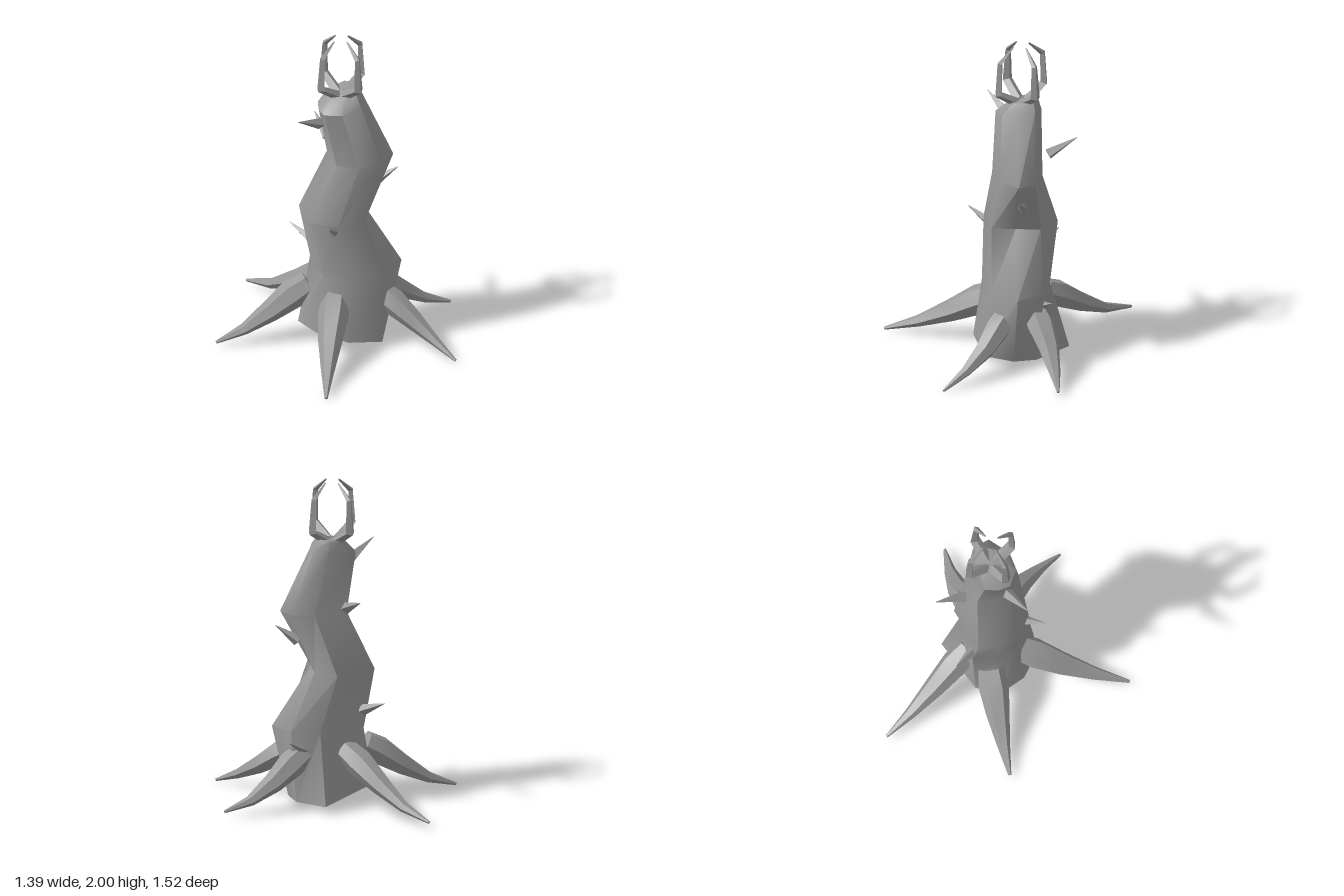
import * as THREE from 'three';
import { toCreasedNormals } from 'three/addons/utils/BufferGeometryUtils.js';

const V = (x, y, z) => new THREE.Vector3(x, y, z);
const UP = V(0, 1, 0);

// Skin a list of equal-sized rings, optionally closing the ends with fans
function loft(rings, capStart, capEnd, crease) {
  const n = rings[0].length, pos = [], idx = [];
  rings.forEach(r => r.forEach(p => pos.push(p.x, p.y, p.z)));
  for (let k = 0; k < rings.length - 1; k++) {
    for (let i = 0; i < n; i++) {
      const a = k * n + i, b = k * n + (i + 1) % n;
      idx.push(a, a + n, b, b, a + n, b + n);
    }
  }
  const cap = (k, flip) => {
    const c = rings[k].reduce((s, p) => s.add(p), V(0, 0, 0)).divideScalar(n);
    const m = pos.length / 3;
    pos.push(c.x, c.y, c.z);
    for (let i = 0; i < n; i++) {
      const a = k * n + i, b = k * n + (i + 1) % n;
      if (flip) idx.push(m, a, b); else idx.push(m, b, a);
    }
  };
  if (capStart) cap(0, true);
  if (capEnd) cap(rings.length - 1, false);
  const g = new THREE.BufferGeometry();
  g.setAttribute('position', new THREE.Float32BufferAttribute(pos, 3));
  g.setIndex(idx);
  return toCreasedNormals(g, crease);
}

// Tapered limb along a path; widths are sideways, heights are across the bend
function sweep(pts, widths, heights, sides) {
  const first = pts[1].clone().sub(pts[0]);
  const side = UP.clone().cross(first.setY(0)).normalize();
  const rings = pts.map((p, i) => {
    const t = pts[Math.min(i + 1, pts.length - 1)].clone().sub(pts[Math.max(i - 1, 0)]).normalize();
    const v = side.clone().cross(t).normalize();
    return Array.from({ length: sides }, (_, k) => {
      const a = k / sides * Math.PI * 2;
      return p.clone().addScaledVector(side, Math.cos(a) * widths[i]).addScaledVector(v, Math.sin(a) * heights[i]);
    });
  });
  return loft(rings, true, true, 0.5);
}

export function createModel() {
  const group = new THREE.Group();
  const bark = new THREE.MeshStandardMaterial({ color: 0x999999, side: THREE.DoubleSide });
  bark.name = 'grey bark';
  const add = (name, geo) => {
    const m = new THREE.Mesh(geo, bark);
    m.name = name;
    group.add(m);
  };

  // Crooked trunk, open underneath: y, centre x, z, radius x, z, right corner angle,
  // factors for the right, front-right, back-right and back-left corners, tilt along x, z
  const trunkRings = [
    [0.075, 0.0, 0.085, 0.268, 0.26, 0, 0.87, 0.84, 1.22, 1.14, -0.19, -0.08],
    [0.48, 0.045, 0.08, 0.245, 0.235, -2, 1, 1.2, 0.74, 1, 0, 0],
    [0.84, -0.05, 0.042, 0.21, 0.21, -9, 1, 0.73, 1.15, 1, 0, 0],
    [1.2, 0.072, 0.098, 0.183, 0.17, 3, 1, 1.17, 0.76, 1, 0, 0],
    [1.575, -0.015, 0.06, 0.155, 0.132, -11, 1, 0.78, 1, 1, 0.2, 0],
    [1.645, 0.012, 0.035, 0.09, 0.085, -8, 1, 0.85, 1, 1, 0.15, 0],
  ].map(([y, cx, cz, rx, rz, angle, right, frontRight, backRight, backLeft, tiltX, tiltZ]) => {
    const corners = [
      [angle, right], [36, frontRight], [79, 1], [128, 0.97],
      [176, 1], [208, backLeft], [240, 1.13], [311, backRight],
    ];
    return corners.map(([deg, f]) => {
      const a = deg * Math.PI / 180;
      const dx = Math.cos(a) * rx * f, dz = Math.sin(a) * rz * f;
      return V(cx + dx, y + dx * tiltX + dz * tiltZ, cz + dz);
    });
  });
  add('trunk', loft(trunkRings, false, true, 0.82));

  // Spreading roots: start x, z, tip x, y, z, sideways bow, thickness, lift
  [
    [0.01, -0.1, -0.065, 0.045, -0.76, 0, 1.08, 0.035],
    [-0.17, -0.07, -0.69, 0.035, -0.31, -0.005, 1.15, 0.03],
    [0.18, 0.07, 0.69, 0.04, 0.215, 0.03, 1.08, 0.015],
    [-0.13, 0.13, -0.625, 0.02, 0.617, -0.01, 1.2, 0.01],
    [0.12, 0.22, 0.27, 0.012, 0.755, 0.03, 1.03, 0],
  ].forEach(([sx, sz, tx, ty, tz, bow, thick, lift]) => {
    const side = UP.clone().cross(V(tx - sx, 0, tz - sz).normalize());
    const at = (t, y, b) => V(sx + (tx - sx) * t, y + lift * (1 - t), sz + (tz - sz) * t).addScaledVector(side, b * bow);
    const pts = [at(0, 0.32, 0), at(0.18, 0.265, 0.5), at(0.42, 0.175, 1), at(0.7, 0.087, 0.8), at(1, ty, 0)];
    const widths = [0.068, 0.078, 0.06, 0.034, 0.008].map(w => w * thick);
    const heights = [0.068, 0.077, 0.056, 0.029, 0.008].map(h => h * thick);
    add('root', sweep(pts, widths, heights, 6));
  });

  // Thorns: base then tip
  [
    [-0.18, 1.485, 0.045, -0.365, 1.565, 0.06],
    [0.025, 1.25, -0.125, 0.07, 1.335, -0.3],
    [-0.155, 0.79, 0.16, -0.285, 0.88, 0.245],
    [0.17, 1.015, 0.14, 0.27, 1.11, 0.23],
    [-0.09, 0.59, -0.14, -0.13, 0.66, -0.295],
    [0.2, 0.36, 0.04, 0.33, 0.43, 0.04],
  ].forEach(([x, y, z, tx, ty, tz]) => {
    add('thorn', sweep([V(x, y, z), V(tx, ty, tz)], [0.036, 0.002], [0.036, 0.002], 4));
  });

  // Crown of four inward-curving claws
  for (let i = 0; i < 4; i++) {
    const a = i * Math.PI / 2;
    const pts = [[0.03, 1.625], [0.158, 1.71], [0.148, 1.91], [0.053, 1.997]]
      .map(([r, y]) => V(-0.013 + Math.cos(a) * r, y, 0.04 + Math.sin(a) * r));
    add('claw', sweep(pts, [0.036, 0.032, 0.019, 0.005], [0.028, 0.025, 0.018, 0.005], 4));
  }
  return group;
}
